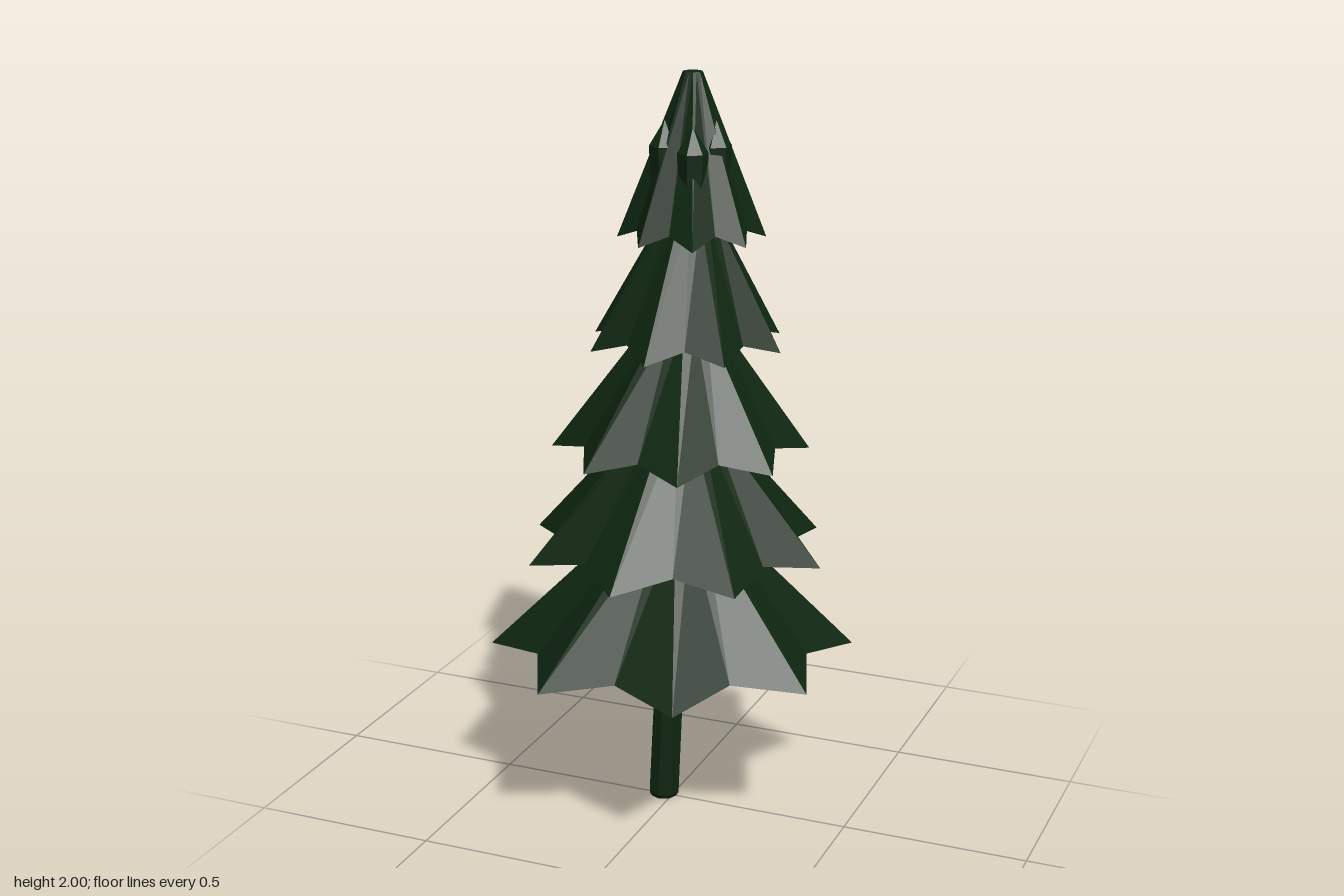
import * as THREE from 'three';

const POINTS = 8;

// Star-rimmed tier: closed underside, alternating tips and notches, narrow top ring
function tierGeometry({ x, y, r, turn, topX, topY, topR }) {
  const n = POINTS * 2;
  const under = [x, y + 0.055, 0];
  const cap = [topX, topY, 0];
  const rim = [], top = [], pos = [];
  for (let i = 0; i < n; i++) {
    const a = turn + (i * Math.PI) / POINTS;
    const notch = i % 2 === 1;
    const rr = notch ? r * 0.79 : r;
    rim.push([x + rr * Math.cos(a), y + (notch ? 0.03 : 0), rr * Math.sin(a)]);
    const tr = notch ? topR * 0.93 : topR;
    top.push([topX + tr * Math.cos(a), topY, tr * Math.sin(a)]);
  }
  const tri = (a, b, c) => pos.push(...a, ...b, ...c);
  for (let i = 0; i < n; i++) {
    const j = (i + 1) % n;
    tri(rim[i], top[i], rim[j]);
    tri(rim[j], top[i], top[j]);
    tri(under, rim[i], rim[j]);
    tri(cap, top[j], top[i]);
  }
  const g = new THREE.BufferGeometry();
  g.setAttribute('position', new THREE.Float32BufferAttribute(pos, 3));
  g.computeVertexNormals();
  return g;
}

export function createModel() {
  const tree = new THREE.Group();
  tree.name = 'pineTree';
  const green = new THREE.MeshStandardMaterial({ color: 0x0f2711, flatShading: true });
  green.name = 'darkGreen';

  const add = (name, geometry) => {
    const mesh = new THREE.Mesh(geometry, green);
    mesh.name = name;
    tree.add(mesh);
    return mesh;
  };

  // Leaning trunk with a small bevel at its foot
  const profile = [[0, 0], [0.036, 0], [0.043, 0.012], [0.041, 0.56], [0, 0.56]];
  const trunk = new THREE.LatheGeometry(profile.map(p => new THREE.Vector2(...p)), 8);
  const p = trunk.attributes.position;
  for (let i = 0; i < p.count; i++) p.setX(i, p.getX(i) - 0.024 + p.getY(i) * 0.045);
  add('trunk', trunk);

  // Foliage tiers, each turned half a point from the one below
  const half = Math.PI / POINTS;
  const tiers = [
    { x: 0, y: 0.455, r: 0.487, turn: half, topX: 0.01, topY: 0.83, topR: 0.105 },
    { x: 0.012, y: 0.735, r: 0.41, turn: 0.03, topX: 0.02, topY: 1.1, topR: 0.09 },
    { x: 0.024, y: 1.015, r: 0.338, turn: half + 0.03, topX: 0.035, topY: 1.37, topR: 0.08 },
    { x: 0.04, y: 1.3, r: 0.262, turn: 0.03, topX: 0.05, topY: 1.64, topR: 0.07 },
    { x: 0.054, y: 1.58, r: 0.19, turn: half, topX: 0.056, topY: 2, topR: 0.025 },
  ];
  tiers.forEach((t, i) => add('foliageTier' + (i + 1), tierGeometry(t)));

  // Small tufts bulging from the front and left of the crown
  const tuftProfile = [[0, -0.11], [0.034, -0.085], [0.04, 0.02], [0, 0.085]];
  const tuftShape = new THREE.LatheGeometry(tuftProfile.map(q => new THREE.Vector2(...q)), 6);
  for (const [x, y, z] of [[0.126, 1.8, 0.015], [0.09, 1.79, 0.083], [0.005, 1.8, 0.06]]) {
    add('crownTuft', tuftShape).position.set(x, y, z);
  }

  return tree;
}
